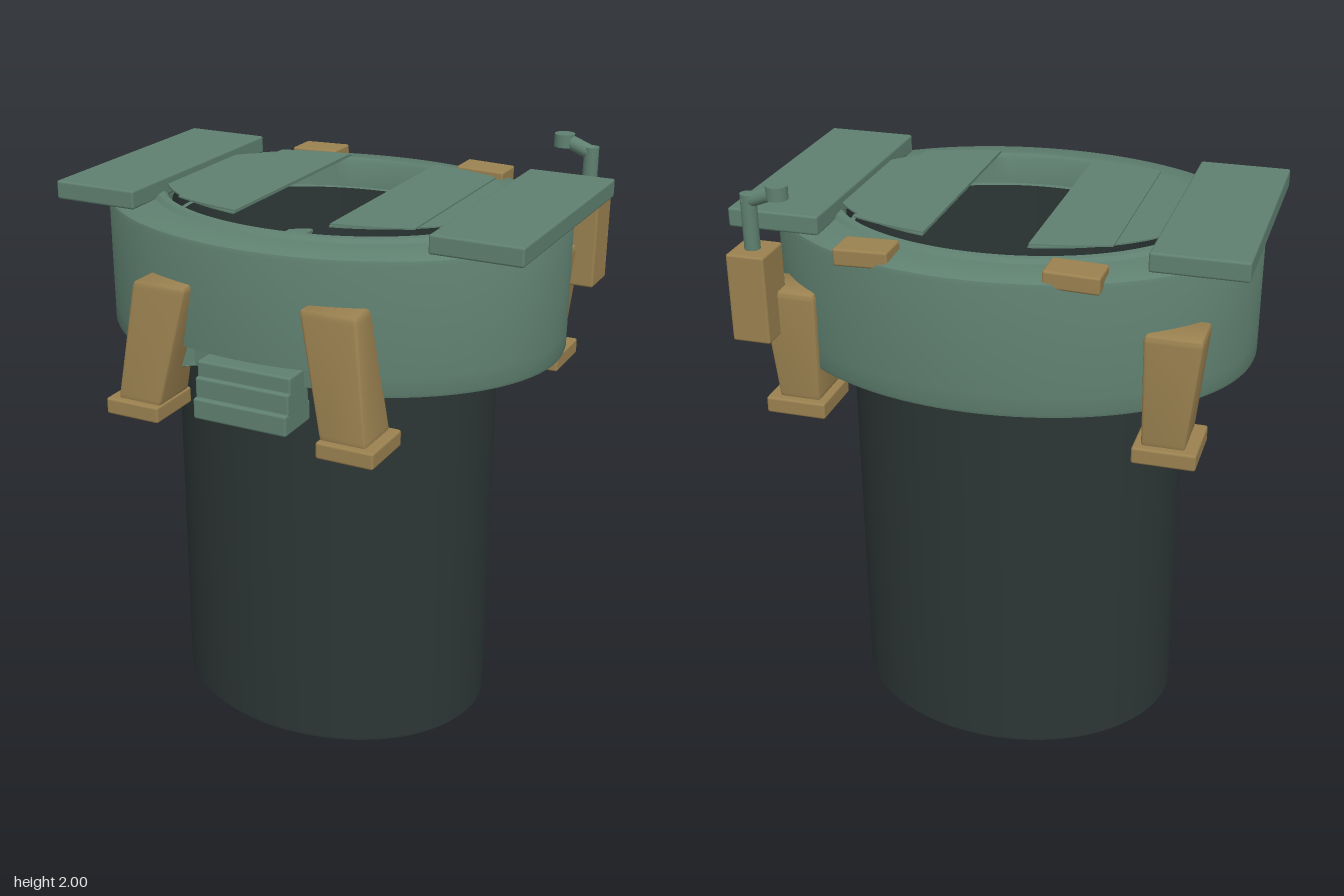
import * as THREE from 'three';
import { toCreasedNormals } from 'three/addons/utils/BufferGeometryUtils.js';
import { RoundedBoxGeometry } from 'three/addons/geometries/RoundedBoxGeometry.js';

const material = (name, color, side = THREE.FrontSide) =>
  Object.assign(new THREE.MeshStandardMaterial({ color, side }), { name });

export function createModel() {
  const model = new THREE.Group();
  model.name = 'hatchTank';
  const green = material('sage green', 0x5f8070);
  const tan = material('tan brown', 0x9a8150);
  const dark = material('charcoal', 0x2c3535, THREE.DoubleSide);
  const CZ = -0.04; // centre of the oval body

  const add = (name, geometry, mat) => {
    const mesh = new THREE.Mesh(geometry, mat);
    mesh.name = name;
    model.add(mesh);
    return mesh;
  };

  // Rounded box given by its limits on each axis
  const box = (name, x0, x1, y0, y1, z0, z1, mat, r = 0.008) => {
    const mesh = add(name, new RoundedBoxGeometry(x1 - x0, y1 - y0, z1 - z0, 2, r), mat);
    mesh.position.set((x0 + x1) / 2, (y0 + y1) / 2, (z0 + z1) / 2);
    return mesh;
  };

  // Slanted, tapering leg between two rectangles [x0, x1, z0, z1]
  const leg = (name, low, high, y0, y1, side) => {
    const g = new RoundedBoxGeometry(1, 1, 1, 2, 0.06);
    const p = g.attributes.position;
    for (let i = 0; i < p.count; i++) {
      const t = p.getY(i) + 0.5;
      const r = low.map((v, k) => v + (high[k] - v) * t);
      p.setXYZ(i,
        side * (r[0] + r[1]) / 2 + p.getX(i) * (r[1] - r[0]),
        y0 + (y1 - y0) * t,
        (r[2] + r[3]) / 2 + p.getZ(i) * (r[3] - r[2]));
    }
    add(name, toCreasedNormals(g, 0.6), tan);
  };

  // Oval tank, open at the top
  const lathe = (points, segments) =>
    new THREE.LatheGeometry(points.map(([r, y]) => new THREE.Vector2(r, y)), segments);
  const tankShape = lathe([[0, 0], [0.55, 0], [0.552, 0.015], [0.567, 0.018], [0.567, 1.81]], 96);
  tankShape.scale(1, 1, 0.457 / 0.567).translate(0, 0, CZ);
  add('tank', toCreasedNormals(tankShape, 0.6), dark);

  // Wide collar with a raised inner lip and a shallow recess above the step
  const collarShape = lathe([
    [0.55, 1.38], [0.78, 1.38], [0.791, 1.384], [0.795, 1.395], [0.795, 1.452], [0.795, 1.46],
    [0.795, 1.8], [0.79, 1.814], [0.775, 1.822], [0.64, 1.828], [0.625, 1.84],
    [0.6, 1.842], [0.588, 1.83], [0.58, 1.74], [0.55, 1.74],
  ], 128);
  collarShape.scale(1, 1, 0.615 / 0.795).translate(0, 0, CZ);
  const cp = collarShape.attributes.position;
  for (let i = 0; i < cp.count; i++) {
    if (Math.abs(cp.getX(i)) < 0.25 && cp.getY(i) < 1.455 && cp.getZ(i) > 0.5) cp.setZ(i, 0.5);
  }
  add('collar', toCreasedNormals(collarShape, 0.6), green);

  // Thin hatch plates with curved ends
  const plate = (name, x0, x1, a, b, y) => {
    const edge = [];
    for (let i = 0; i <= 20; i++) {
      const x = x0 + (x1 - x0) * i / 20;
      edge.push([x, b * Math.sqrt(1 - (x / a) ** 2)]);
    }
    const shape = new THREE.Shape([
      ...edge.map(([x, z]) => new THREE.Vector2(x, -z)),
      ...edge.reverse().map(([x, z]) => new THREE.Vector2(x, z)),
    ]);
    const g = new THREE.ExtrudeGeometry(shape, { depth: 0.005, bevelEnabled: false });
    g.rotateX(-Math.PI / 2).translate(0, y, -0.045);
    add(name, g, green);
  };
  plate('rightLowerHatch', -0.515, -0.15, 0.6, 0.43, 1.855);
  plate('rightUpperHatch', -0.395, -0.15, 0.72, 0.415, 1.86);
  plate('leftLowerHatch', 0.18, 0.515, 0.6, 0.43, 1.855);
  plate('leftUpperHatch', 0.18, 0.43, 0.72, 0.415, 1.86);

  // Mirrored parts: side panels, legs, feet and rear blocks
  for (const s of [1, -1]) {
    const n = s > 0 ? 'left' : 'right';
    const pair = (name, x0, x1, ...rest) =>
      box(n + name, Math.min(s * x0, s * x1), Math.max(s * x0, s * x1), ...rest);
    pair('SidePanel', 0.515, 0.813, 1.823, 1.885, -0.47, 0.385, green);
    leg(n + 'FrontLeg', [0.285, 0.44, 0.46, 0.635], [0.197, 0.385, 0.49, 0.597], 1.27, 1.67, s);
    pair('FrontFoot', 0.28, 0.473, 1.225, 1.28, 0.45, 0.655, tan);
    leg(n + 'RearLeg', [0.525, 0.66, -0.52, -0.35], [0.52, 0.7, -0.525, -0.368], 1.27, 1.645, s);
    pair('RearFoot', 0.5, 0.7, 1.225, 1.28, -0.545, -0.335, tan);
    const block = pair('RearBlock', 0.235, 0.408, 1.797, 1.852, -0.615, -0.5, tan);
    block.rotation.z = -s * 0.03;
  }

  // Front step: three slats stepping outward
  box('upperSlat', -0.167, 0.163, 1.38, 1.44, 0.47, 0.59, green);
  box('middleSlat', -0.167, 0.163, 1.315, 1.39, 0.47, 0.605, green);
  box('lowerSlat', -0.167, 0.163, 1.255, 1.325, 0.46, 0.622, green);

  // Small fitting on the inner wall
  box('innerFitting', -0.37, -0.29, 1.5, 1.56, -0.43, -0.36, tan);
  box('innerFittingCap', -0.37, -0.29, 1.56, 1.575, -0.43, -0.36, green, 0.004);

  // Rear box with a bent periscope pipe
  box('periscopeBox', 0.64, 0.765, 1.5, 1.788, -0.605, -0.46, tan);
  const rod = (name, r, from, to) => {
    const a = new THREE.Vector3(...from), b = new THREE.Vector3(...to);
    const mesh = add(name, new THREE.CylinderGeometry(r, r, a.distanceTo(b), 24), green);
    mesh.position.copy(a).lerp(b, 0.5);
    mesh.quaternion.setFromUnitVectors(new THREE.Vector3(0, 1, 0), b.sub(a).normalize());
  };
  const PZ = -0.535;
  rod('periscopePost', 0.025, [0.705, 1.77, PZ], [0.705, 1.965, PZ]);
  rod('periscopeArm', 0.024, [0.715, 1.94, PZ], [0.615, 1.979, PZ]);
  rod('periscopeHead', 0.034, [0.609, 1.957, PZ], [0.609, 2, PZ]);

  return model;
}
